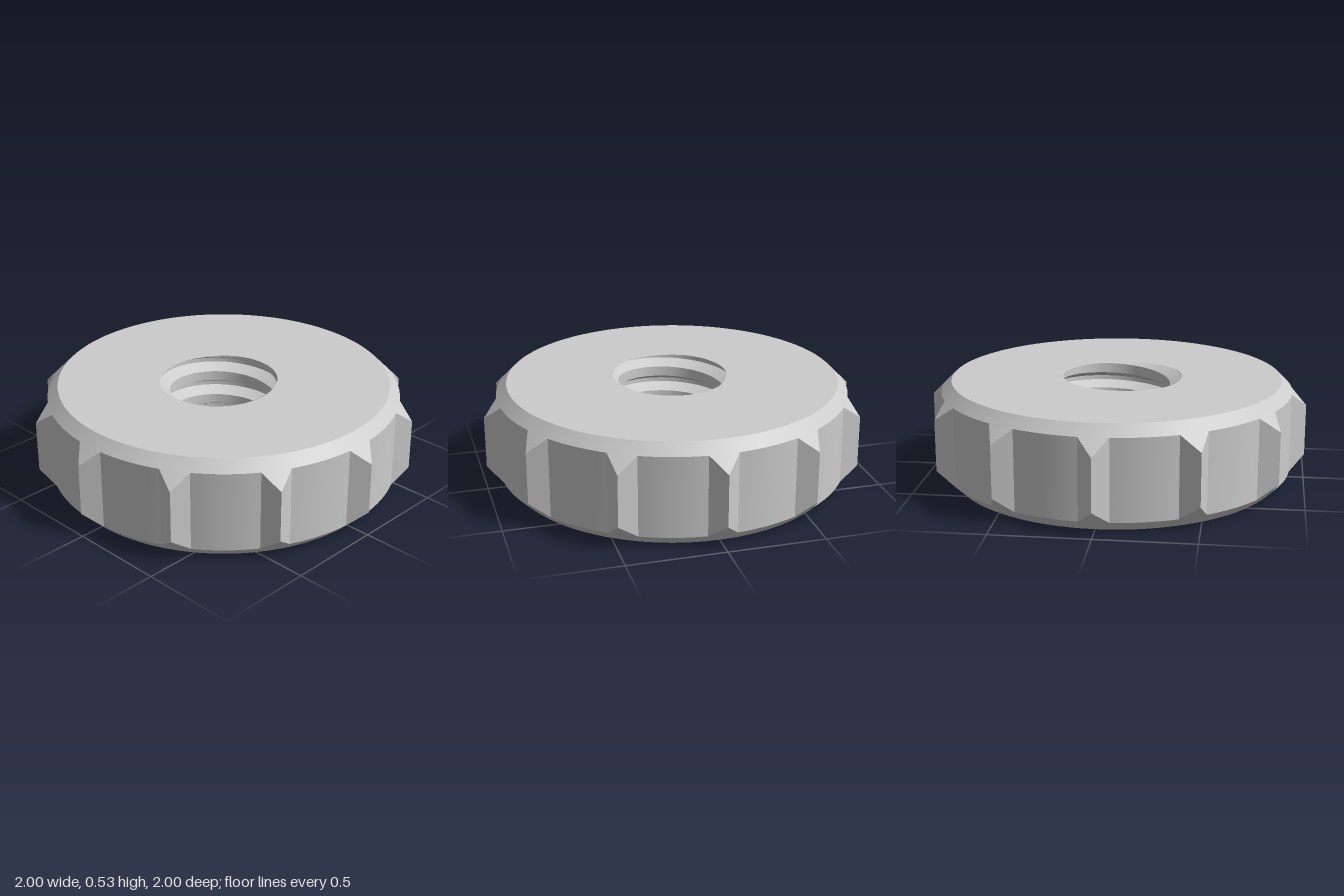
import * as THREE from 'three';
import { toCreasedNormals } from 'three/addons/utils/BufferGeometryUtils.js';

const H = 0.53;            // thickness
const FACE_R = 0.87;       // flat face radius, 45 degree chamfer outside it
const RIM_R = 0.925;
const TEETH = 12;
const PITCH = 0.14, MINOR_R = 0.283, MAJOR_R = 0.344;
const ROOT = 0.08, MOUTH = 0.31;   // half widths of the groove, in pitches

// Angles and radii round the rim: each tooth is base, tip, base, then an arc
const HALF = Math.atan(0.075 / 0.922), STEP = Math.PI * 2 / TEETH, ARC = 8;
const rim = [];
for (let t = 0; t < TEETH; t++) {
  rim.push({ a: t * STEP, r: 1 });
  for (let i = 0; i <= ARC; i++) {
    rim.push({ a: t * STEP + HALF + (STEP - 2 * HALF) * i / ARC, r: RIM_R });
  }
}
rim.push({ a: Math.PI * 2, r: 1 });

// Height of a groove's centre line (right-hand helix)
const grooveY = (a) => H + PITCH * (a / (Math.PI * 2) - 0.75);

// Radius of the threaded hole at a height and angle
function holeRadius(y, a) {
  const turns = (y - grooveY(a)) / PITCH;
  const d = Math.abs(turns - Math.round(turns));
  const k = THREE.MathUtils.clamp((MOUTH - d) / (MOUTH - ROOT), 0, 1);
  return MINOR_R + (MAJOR_R - MINOR_R) * k;
}

// Sweeps a profile of [radius, height] points round the axis
function sweep(profile) {
  const rings = rim.map((s) => profile(s).map(([r, y]) =>
    new THREE.Vector3(r * Math.cos(s.a), y, -r * Math.sin(s.a))));
  const pos = [], ab = new THREE.Vector3(), ac = new THREE.Vector3();
  const tri = (a, b, c) => {
    ab.subVectors(b, a);
    ac.subVectors(c, a);
    if (ab.cross(ac).length() < 1e-9) return;
    for (const p of [a, b, c]) pos.push(p.x, p.y, p.z);
  };
  for (let i = 0; i < rings.length - 1; i++) {
    const p = rings[i], q = rings[i + 1];
    for (let j = 0; j < p.length - 1; j++) {
      tri(p[j], q[j], q[j + 1]);
      tri(p[j], q[j + 1], p[j + 1]);
    }
  }
  const geo = new THREE.BufferGeometry();
  geo.setAttribute('position', new THREE.Float32BufferAttribute(pos, 3));
  return toCreasedNormals(geo, 0.4);
}

export function createModel() {
  const group = new THREE.Group();
  group.name = 'toothedNut';
  const material = new THREE.MeshStandardMaterial({ color: 0xcccccc });
  const add = (name, profile) => {
    const mesh = new THREE.Mesh(sweep(profile), material);
    mesh.name = name;
    group.add(mesh);
  };

  // Flat faces, chamfers and toothed rim
  add('toothedBody', ({ a, r }) => [
    [holeRadius(0, a), 0],
    [FACE_R, 0],
    [r, r - FACE_R],
    [r, H - (r - FACE_R)],
    [FACE_R, H],
    [holeRadius(H, a), H],
  ]);

  // Helical groove cut off at both faces, listed from the top down
  add('innerThread', ({ a }) => {
    const heights = [H];
    for (let k = 1; k >= -5; k--) {
      for (const o of [MOUTH, ROOT, -ROOT, -MOUTH]) {
        heights.push(THREE.MathUtils.clamp(grooveY(a) + (k + o) * PITCH, 0, H));
      }
    }
    heights.push(0);
    return heights.map((y) => [holeRadius(y, a), y]);
  });

  return group;
}
